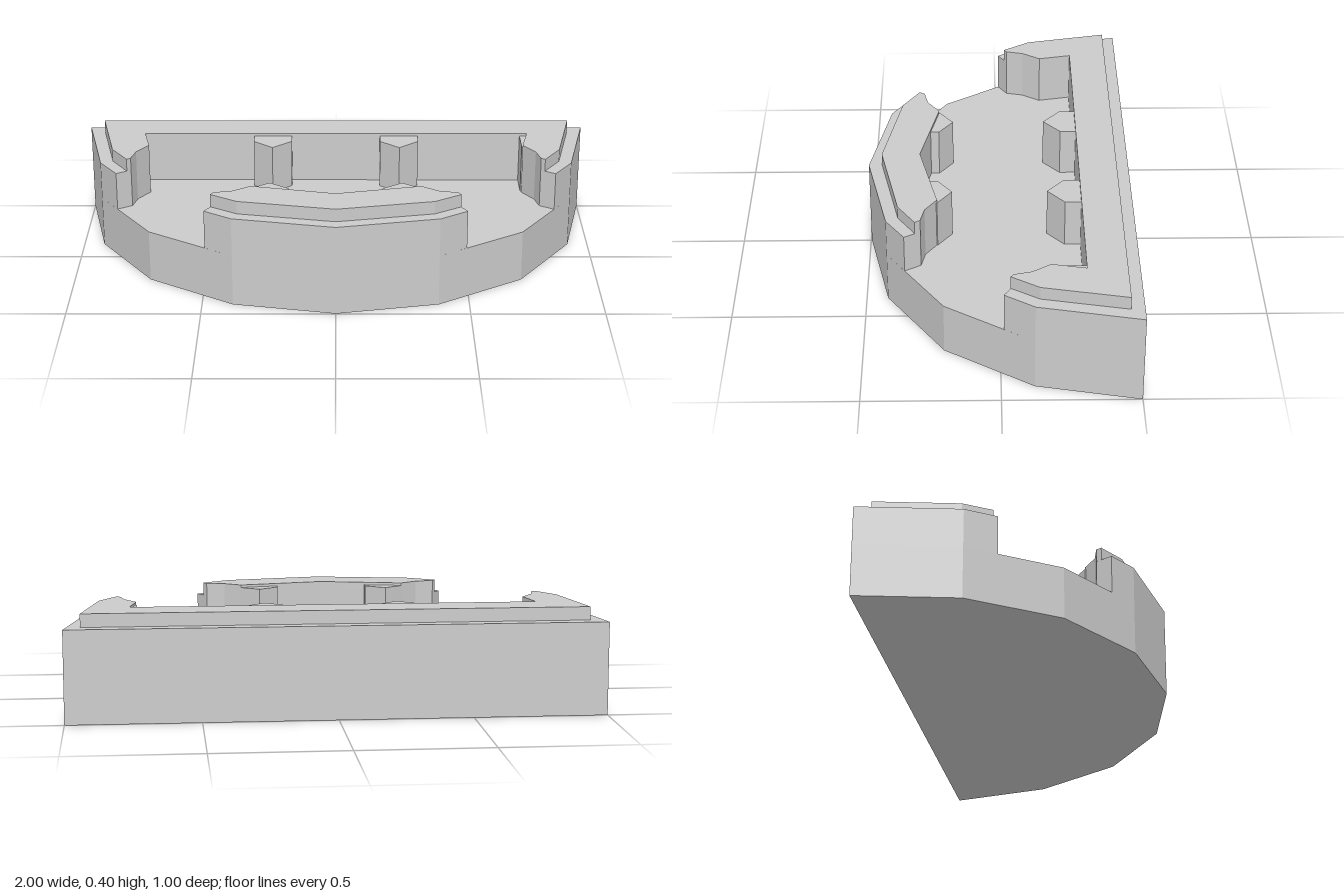
import * as THREE from 'three';

const material = new THREE.MeshStandardMaterial({ color: 0xcccccc, flatShading: true });

// Upright prism from plan points [x, z], between two heights
function prism(name, points, bottom, top) {
  const shape = new THREE.Shape(points.map(([x, z]) => new THREE.Vector2(x, -z)));
  const geometry = new THREE.ExtrudeGeometry(shape, { depth: top - bottom, bevelEnabled: false });
  geometry.rotateX(-Math.PI / 2).translate(0, bottom, 0);
  const mesh = new THREE.Mesh(geometry, material);
  mesh.name = name;
  return mesh;
}

// Completes a half plan that runs from the centre line back to the centre line
function mirrored(half) {
  const other = half.slice(1, -1).reverse().map(([x, z]) => [-x, z]);
  return [...half, ...other];
}

export function createModel() {
  const model = new THREE.Group();
  model.name = 'tray';

  // Solid floor slab
  model.add(prism('floor', mirrored([
    [0, 0.497], [0.385, 0.42], [0.71, 0.205], [0.922, -0.12], [1, -0.5], [0, -0.5],
  ]), 0, 0.2));

  // Back wall with returning ends, and the inset lip on top of it
  const backInner = [[0.795, -0.045], [0.78, -0.11], [0.735, -0.18], [0.76, -0.305], [0, -0.305]];
  model.add(prism('backWall', mirrored([
    [0, -0.5], [1, -0.5], [0.922, -0.12], [0.85, -0.01], ...backInner,
  ]), 0.2, 0.35));
  model.add(prism('backLip', mirrored([
    [0, -0.45], [0.938, -0.45], [0.875, -0.137], [0.81, -0.034], ...backInner,
  ]), 0.35, 0.4));

  // Front wall and its inset lip
  const frontInner = [[0.455, 0.29], [0.385, 0.275], [0.32, 0.23], [0, 0.3]];
  model.add(prism('frontWall', mirrored([
    [0, 0.497], [0.385, 0.42], [0.49, 0.35], ...frontInner,
  ]), 0.2, 0.35));
  model.add(prism('frontLip', mirrored([
    [0, 0.446], [0.365, 0.375], [0.467, 0.31], ...frontInner,
  ]), 0.35, 0.4));

  // Pointed posts standing against both walls
  for (const x of [-0.25, 0.25]) {
    model.add(prism('frontPost', [
      [x - 0.075, 0.29], [x - 0.075, 0.23], [x, 0.175], [x + 0.075, 0.23], [x + 0.075, 0.29],
    ].map(([px, z]) => [px, z === 0.29 ? 0.3 - Math.abs(px) * 0.2 : z]), 0.2, 0.39));
    model.add(prism('backPost', [
      [x - 0.075, -0.31], [x - 0.075, -0.245], [x, -0.18], [x + 0.075, -0.245], [x + 0.075, -0.31],
    ], 0.2, 0.39));
  }

  // Small fillet in the left inner corner
  model.add(prism('cornerFillet', [[0.732, -0.306], [0.762, -0.306], [0.737, -0.185], [0.732, -0.19]], 0.2, 0.39));

  return model;
}
